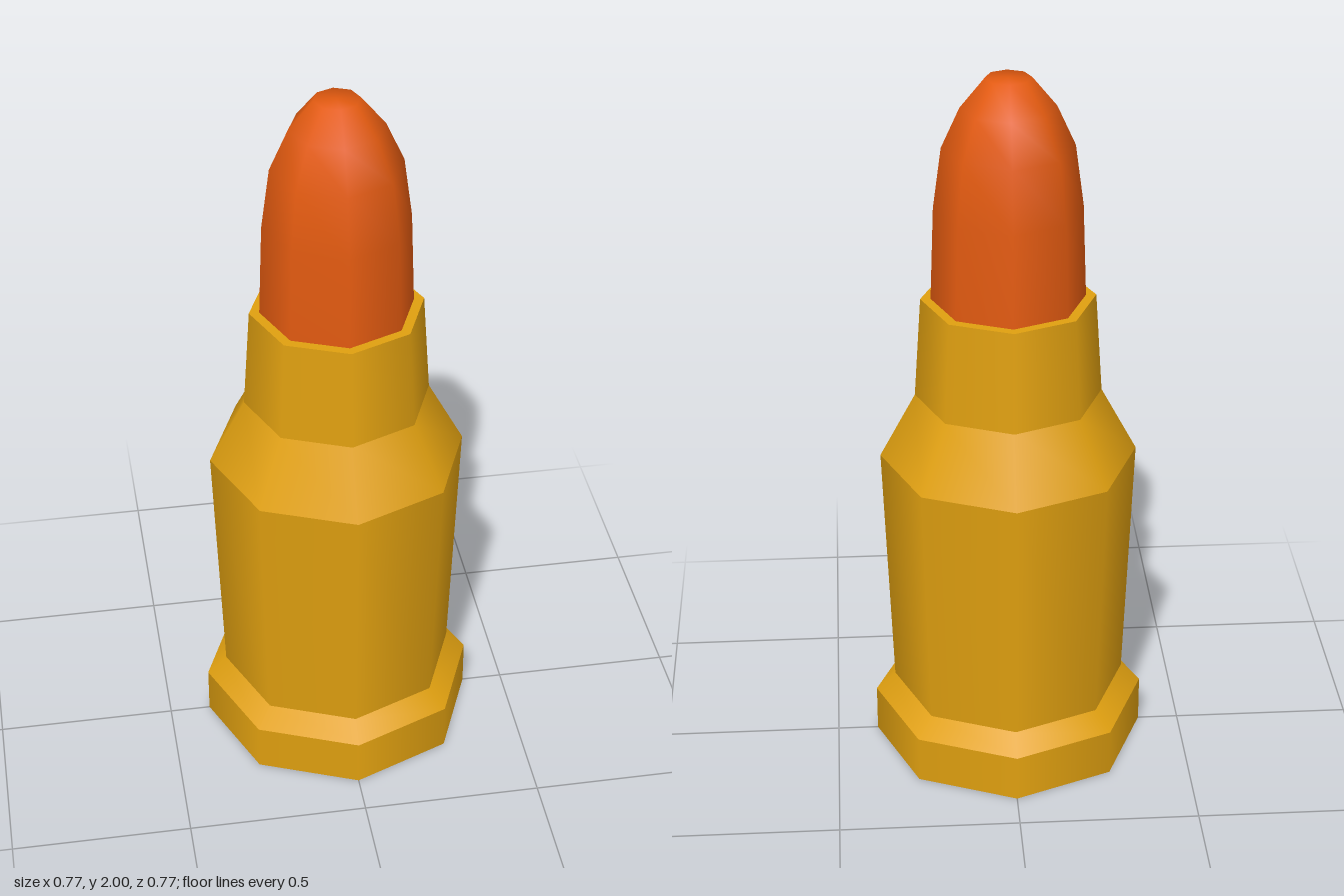
import * as THREE from 'three';

const SIDES = 8;

// Octagonal surface of revolution through [radius, height] points, listed so it faces outward
function turned(name, points, material) {
  const profile = points.map(([r, y]) => new THREE.Vector2(r, y));
  const mesh = new THREE.Mesh(new THREE.LatheGeometry(profile, SIDES), material);
  mesh.name = name;
  return mesh;
}

export function createModel() {
  const brass = new THREE.MeshStandardMaterial({ color: 0xe0a010 });
  brass.name = 'brass';
  const copper = new THREE.MeshStandardMaterial({ color: 0xe25a10 });
  copper.name = 'copper';
  const steel = new THREE.MeshStandardMaterial({ color: 0x555a72 });
  steel.name = 'dark steel';

  const model = new THREE.Group();
  model.name = 'cartridge';

  // Casing: each band is its own surface, smooth around and sharp between bands
  const casing = new THREE.Group();
  casing.name = 'casing';
  const bands = [
    ['baseRing', [0.21, 0], [0.385, 0]],
    ['rim', [0.385, 0], [0.385, 0.135]],
    ['rimBevel', [0.385, 0.135], [0.33, 0.187]],
    ['body', [0.33, 0.187], [0.357, 0.905]],
    ['shoulder', [0.357, 0.905], [0.258, 1.09]],
    ['neck', [0.258, 1.09], [0.239, 1.377]],
    ['mouth', [0.239, 1.377], [0.205, 1.377]],
  ];
  for (const [name, from, to] of bands) casing.add(turned(name, [from, to], brass));
  model.add(casing);

  // Primer set flush in the base
  model.add(turned('primer', [[0, 0], [0.21, 0]], steel));

  // Rounded bullet with a small blunt tip
  model.add(turned('bullet', [
    [0.211, 1.37], [0.201, 1.64], [0.178, 1.81], [0.128, 1.92], [0.062, 2], [0, 2],
  ], copper));

  return model;
}
